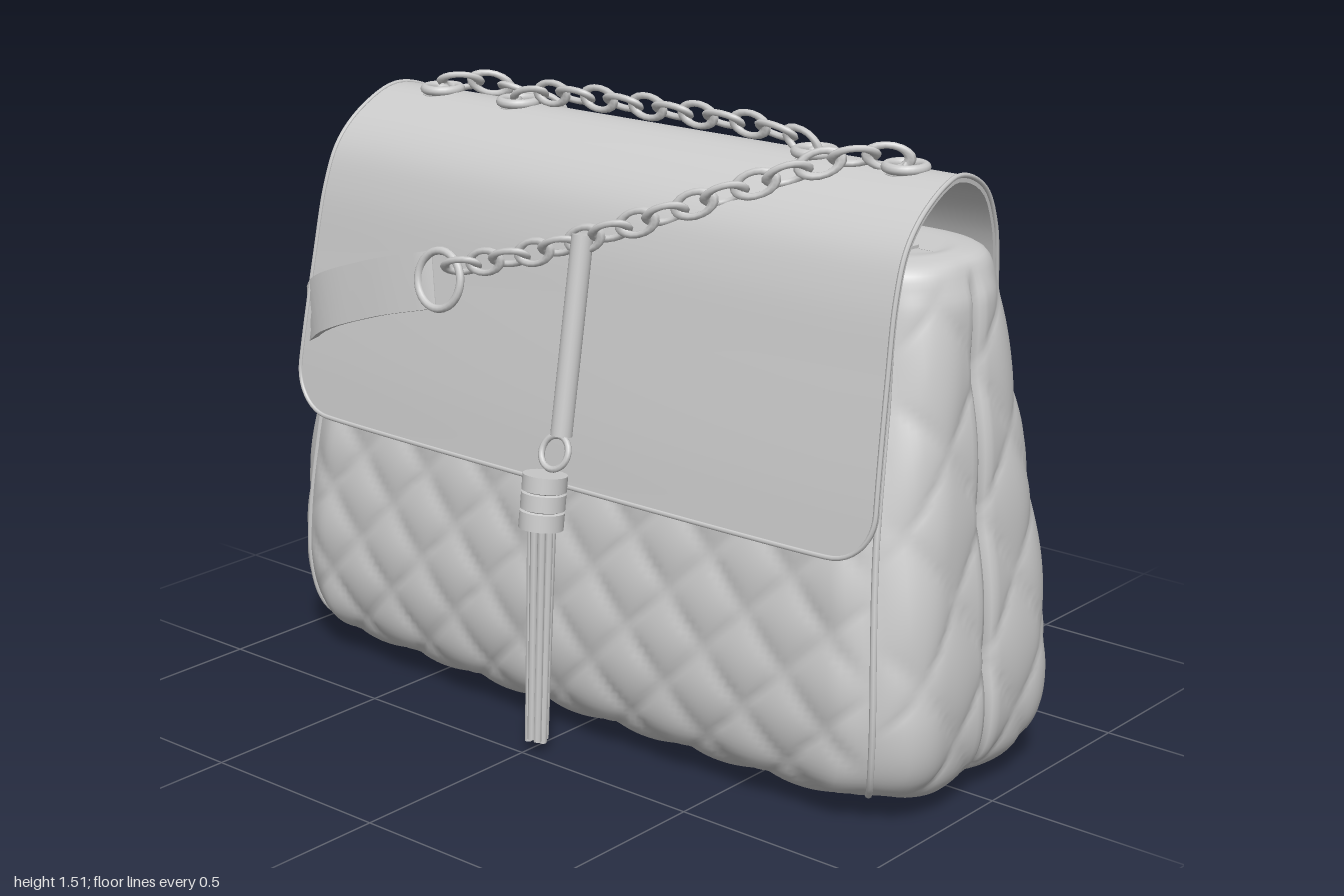
import * as THREE from 'three';
import { mergeGeometries, toCreasedNormals } from 'three/addons/utils/BufferGeometryUtils.js';

const V = (x, y, z) => new THREE.Vector3(x, y, z);
const curve = (pts) => new THREE.CatmullRomCurve3(pts.map((p) => V(...p)), false, 'centripetal');
const mat = new THREE.MeshStandardMaterial({ color: 0xcccccc });
const thinMat = new THREE.MeshStandardMaterial({ color: 0xcccccc, side: THREE.DoubleSide });

function add(group, name, geo, material = mat) {
  const mesh = new THREE.Mesh(geo, material);
  mesh.name = name;
  group.add(mesh);
  return mesh;
}

// Skin a list of closed rings (all with the same number of points)
function loft(rings) {
  const n = rings[0].length, pos = [], idx = [];
  rings.forEach((r) => r.forEach((p) => pos.push(p.x, p.y, p.z)));
  for (let i = 0; i < rings.length - 1; i++) {
    for (let j = 0; j < n; j++) {
      const a = i * n + j, b = i * n + (j + 1) % n;
      idx.push(a, a + n, b, b, a + n, b + n);
    }
  }
  const g = new THREE.BufferGeometry();
  g.setAttribute('position', new THREE.Float32BufferAttribute(pos, 3));
  g.setIndex(idx);
  g.computeVertexNormals();
  return g;
}

// Point and outward direction on a rounded rectangle, t in 0..1 from +x towards +z
const CORNER = 0.17;
function roundedRect(hx, hz, t) {
  const r = Math.min(CORNER, hx, hz), a = hx - r, b = hz - r, q = r * Math.PI / 2;
  const parts = [b, q, 2 * a, q, 2 * b, q, 2 * a, q, b];
  let d = t * parts.reduce((s, p) => s + p, 0), k = 0;
  while (k < 8 && d > parts[k]) d -= parts[k++];
  if (k % 2) {
    const c = (k - 1) / 2, ang = c * Math.PI / 2 + d / r;
    const sx = c === 0 || c === 3 ? 1 : -1, sz = c < 2 ? 1 : -1;
    return { x: sx * a + r * Math.cos(ang), z: sz * b + r * Math.sin(ang), nx: Math.cos(ang), nz: Math.sin(ang) };
  }
  return [
    { x: hx, z: d, nx: 1, nz: 0 }, { x: a - d, z: hz, nx: 0, nz: 1 }, { x: -hx, z: b - d, nx: -1, nz: 0 },
    { x: -a + d, z: -hz, nx: 0, nz: -1 }, { x: hx, z: -b + d, nx: 1, nz: 0 },
  ][k / 2];
}

// Body profile: half width, height, half depth; the panels belly out in the middle
const CZ = 0.012, SEAM = Math.PI / 3;
const belly = (x) => 1 - 0.09 * x * x;
const lift = (x, u) => 0.025 * x * x * Math.max(0, 1 - u * 3);
const profile = curve([[0.74, 0.02, 0.001], [0.83, 0.027, 0.16], [0.915, 0.052, 0.275], [0.96, 0.105, 0.338], [0.982, 0.25, 0.367],
  [0.955, 0.65, 0.328], [0.925, 1.0, 0.249], [0.907, 1.2, 0.217], [0.89, 1.255, 0.207], [0.85, 1.272, 0.17], [0.8, 1.268, 0.001]]);
const quilt = (a, b) => Math.sqrt(Math.abs(Math.sin(Math.PI * (a + b)) * Math.sin(Math.PI * (a - b))));

function bodyGeometry() {
  const rings = [], rows = 120, cols = 300, len = profile.getLength();
  for (let i = 0; i <= rows; i++) {
    const u = i / rows, c = profile.getPointAt(u), tan = profile.getTangentAt(u), v = u * len;
    const h = Math.hypot(tan.y, tan.z), out = Math.abs(tan.y / h), up = -tan.z / h;
    const fade = u < 0.5 ? 1 : THREE.MathUtils.clamp((1.24 - c.y) / 0.06, 0, 1);
    const ring = [];
    for (let j = 0; j < cols; j++) {
      const p = roundedRect(c.x, c.z, j / cols), ang = Math.atan2(Math.abs(p.nz), Math.abs(p.nx));
      const side = ang < SEAM, flat = Math.min(1, Math.abs(ang - SEAM) / 0.45);
      let d = fade * flat * (side ? 0.014 * quilt(p.z / 0.26, v / 0.34) : 0.015 * quilt(p.x / 0.225, v / 0.225));
      if (side) d -= 0.025 * fade * Math.exp(-((p.z / 0.014) ** 2));
      d -= 0.012 * Math.exp(-((v / 0.025) ** 2));
      ring.push(V(p.x + p.nx * d * out, c.y + up * d + lift(p.x, u), CZ + p.z * belly(p.x) + p.nz * d * out));
    }
    rings.push(ring);
  }
  return loft(rings);
}

// Flap: profile across the bag, from front hem over the top to the back hem
const flapCurve = curve([[0, 0.65, 0.375], [0, 0.8, 0.353], [0, 1.05, 0.305], [0, 1.22, 0.267], [0, 1.32, 0.223], [0, 1.395, 0.14],
  [0, 1.443, 0.01], [0, 1.395, -0.13], [0, 1.3, -0.198], [0, 1.2, -0.228], [0, 1.02, -0.26]]);
const flapLen = flapCurve.getLength();
const flapBelly = (x) => 1 - 0.06 * x * x;
function flapHalfWidth(u) {
  const w = u < 0.6 ? THREE.MathUtils.lerp(0.905, 0.86, u / 0.6) : THREE.MathUtils.lerp(0.86, 0.795, (u - 0.6) / 0.4);
  const r = 0.12, s = Math.min(r, u * flapLen);
  return w - r + Math.sqrt(r * r - (r - s) ** 2);
}
function flapGeometry(rows) {
  const rings = rows.map((u) => {
    const p = flapCurve.getPointAt(u), t = flapCurve.getTangentAt(u), w = flapHalfWidth(u), ring = [];
    const th = u === 0 || u === 1 ? 0.001 : 0.015;
    for (let k = 0; k <= 12; k++) {
      const x = w * (1 - k / 6);
      ring.push(V(x, p.y, p.z * flapBelly(x)));
    }
    for (let k = 0; k <= 12; k++) {
      const x = w * (k / 6 - 1);
      ring.push(V(x, p.y + t.z * th, p.z * flapBelly(x) - t.y * th));
    }
    return ring;
  });
  return toCreasedNormals(loft(rings), 0.8);
}

// Flat strap swept along a curve: leans on the flap in front, twists outward at its back end
function strapGeometry(path, width, thick) {
  const rings = [], n = 90;
  for (let i = 0; i <= n; i++) {
    const u = i / n, p = path.getPointAt(u), t = path.getTangentAt(u);
    const up = V(0, 1, -0.2 * Math.max(0, 1 - u / 0.3) - 1.5 * Math.max(0, (u - 0.7) / 0.3) ** 1.5);
    up.addScaledVector(t, -up.dot(t)).normalize();
    const out = t.clone().cross(up).normalize();
    const w = width / 2, h = i === 0 || i === n ? 0.001 : thick / 2;
    rings.push([[w, h], [w, -h], [-w, -h], [-w, h]].map(([a, b]) =>
      p.clone().addScaledVector(up, a).addScaledVector(out, b)));
  }
  return toCreasedNormals(loft(rings), 0.7);
}

// Chain of oval links, alternately rolled about the path
function chainGeometry(path, pitch = 0.077) {
  const count = Math.max(2, Math.round(path.getLength() / pitch)), links = [];
  for (let i = 0; i < count; i++) {
    const u = (i + 0.5) / count, t = path.getTangentAt(u);
    const side = V(0, 0.3, 1).cross(t).normalize(), n = t.clone().cross(side);
    const m = new THREE.Matrix4().makeBasis(t, side, n).setPosition(path.getPointAt(u));
    m.multiply(new THREE.Matrix4().makeRotationX(i % 2 ? 0.4 : 1.15));
    links.push(new THREE.TorusGeometry(0.027, 0.008, 7, 18).scale(1.75, 1, 1).applyMatrix4(m));
  }
  return mergeGeometries(links);
}

// Cylinder between two points
function rod(a, b, r, sides = 20) {
  const d = b.clone().sub(a), g = new THREE.CylinderGeometry(r, r, d.length(), sides);
  g.applyQuaternion(new THREE.Quaternion().setFromUnitVectors(V(0, 1, 0), d.clone().normalize()));
  const m = a.clone().add(b).multiplyScalar(0.5);
  return g.translate(m.x, m.y, m.z);
}

export function createModel() {
  const bag = new THREE.Group();
  bag.name = 'handbag';
  add(bag, 'quiltedBody', bodyGeometry(), thinMat);

  // Piping along the four upright corners
  for (const sx of [-1, 1]) for (const sz of [-1, 1]) {
    const pts = [];
    for (let i = 0; i <= 40; i++) {
      const u = 0.14 + 0.7 * i / 40, c = profile.getPointAt(u);
      const x = c.x - CORNER * (1 - Math.cos(SEAM)), z = c.z - CORNER * (1 - Math.sin(SEAM));
      pts.push(V(sx * x, c.y + lift(x, u), CZ + sz * z * belly(x)));
    }
    add(bag, 'cornerPiping', new THREE.TubeGeometry(new THREE.CatmullRomCurve3(pts), 70, 0.008, 8));
  }

  // Zipper along the top opening
  const teeth = [];
  for (let i = 0; i < 60; i++) teeth.push(new THREE.BoxGeometry(0.014, 0.01, 0.03).translate(-0.75 + i * 0.0254, 1.27, CZ + (i % 2 ? 0.006 : -0.006)));
  add(bag, 'zipper', mergeGeometries(teeth));

  // Flap with a thin bound edge
  const rows = Array.from({ length: 71 }, (_, i) => (i / 70) ** 1.6);
  add(bag, 'flap', flapGeometry(rows), thinMat);
  const edge = (s) => rows.map((u) => {
    const p = flapCurve.getPointAt(u), x = s * flapHalfWidth(u);
    return V(x, p.y, p.z * flapBelly(x));
  });
  const binding = new THREE.CatmullRomCurve3([...edge(1), V(0, 1.02, -0.26), ...edge(-1).reverse(), V(0, 0.65, 0.375)], true, 'centripetal');
  add(bag, 'flapBinding', new THREE.TubeGeometry(binding, 360, 0.006, 6, true));

  // Grommets
  for (const x of [-0.7, -0.44, 0.47, 0.72]) {
    const ring = add(bag, 'grommet', new THREE.TorusGeometry(0.044, 0.012, 10, 28).rotateX(Math.PI / 2));
    ring.position.set(x, 1.446, 0.01);
    const sleeve = add(bag, 'grommetSleeve', new THREE.CylinderGeometry(0.052, 0.052, 0.045, 28));
    sleeve.position.set(x, 1.412, 0.01);
  }

  // Chain, threaded through the grommets
  const chains = {
    frontChain: [[-0.37, 1.1, 0.335], [-0.1, 1.18, 0.31], [0.2, 1.295, 0.265], [0.46, 1.405, 0.17], [0.62, 1.465, 0.07], [0.72, 1.465, 0.01]],
    topChain: [[-0.44, 1.45, 0.01], [-0.36, 1.475, 0.01], [0, 1.485, 0.012], [0.39, 1.475, 0.01], [0.47, 1.45, 0.01]],
    innerChainLeft: [[0.72, 1.44, 0.01], [0.69, 1.34, 0.01], [0.595, 1.315, 0.01], [0.5, 1.34, 0.01], [0.47, 1.44, 0.01]],
    innerChainRight: [[-0.44, 1.44, 0.01], [-0.47, 1.34, 0.01], [-0.57, 1.315, 0.01], [-0.67, 1.34, 0.01], [-0.7, 1.44, 0.01]],
    backChain: [[-0.7, 1.465, 0], [-0.6, 1.455, -0.08], [-0.4, 1.36, -0.19], [-0.15, 1.2, -0.26], [0.1, 1.04, -0.29],
      [0.23, 0.73, -0.345], [0.33, 0.45, -0.395], [0.42, 0.2, -0.445]],
  };
  for (const [name, pts] of Object.entries(chains)) add(bag, name, chainGeometry(curve(pts)));

  // Shoulder strap wrapped around the right side, with a ring at each end
  const strapPath = curve([[-0.43, 1.06, 0.328], [-0.65, 1.0, 0.335], [-0.85, 0.92, 0.325], [-0.955, 0.82, 0.24], [-0.988, 0.7, 0.02],
    [-0.972, 0.59, -0.2], [-0.87, 0.49, -0.32], [-0.5, 0.33, -0.385], [-0.2, 0.22, -0.425], [0.1, 0.15, -0.455], [0.36, 0.13, -0.435]]);
  add(bag, 'strap', strapGeometry(strapPath, 0.14, 0.014), thinMat);
  const frontRing = add(bag, 'frontStrapRing', new THREE.TorusGeometry(0.07, 0.01, 10, 32));
  frontRing.position.set(-0.405, 1.065, 0.335);
  frontRing.rotation.x = -0.2;
  const backRing = add(bag, 'backStrapRing', new THREE.TorusGeometry(0.06, 0.01, 10, 32));
  backRing.position.set(0.41, 0.155, -0.43);
  backRing.rotation.x = -0.95;

  // Tassel hanging from a bar on the flap
  const tassel = new THREE.Group();
  tassel.name = 'tassel';
  bag.add(tassel);
  const X = 0.02;
  add(tassel, 'tasselBar', rod(V(X, 1.235, 0.292), V(X, 0.77, 0.372), 0.026));
  const ring = add(tassel, 'tasselRing', new THREE.TorusGeometry(0.04, 0.008, 8, 24));
  ring.position.set(X, 0.735, 0.395);
  ring.rotation.x = -0.4;
  const collarShape = [[0, -0.063], [0.053, -0.063], [0.053, -0.022], [0.046, -0.019], [0.053, -0.016], [0.053, 0.022],
    [0.046, 0.025], [0.053, 0.028], [0.053, 0.066], [0, 0.066]].map((p) => new THREE.Vector2(...p));
  const collar = add(tassel, 'tasselCollar', toCreasedNormals(new THREE.LatheGeometry(collarShape, 28), 0.5));
  collar.position.set(X, 0.625, 0.437);
  collar.rotation.x = -0.14;
  for (let i = 0; i < 9; i++) {
    const a = i * Math.PI / 4, r = i === 8 ? 0 : 1, c = Math.cos(a) * r, s = Math.sin(a) * r;
    add(tassel, 'tasselStrand', rod(V(X + c * 0.025, 0.59, 0.442 + s * 0.025), V(X + c * 0.02, 0.035 + (i % 3) * 0.005, 0.47 + s * 0.018), 0.0095, 8));
  }
  return bag;
}
